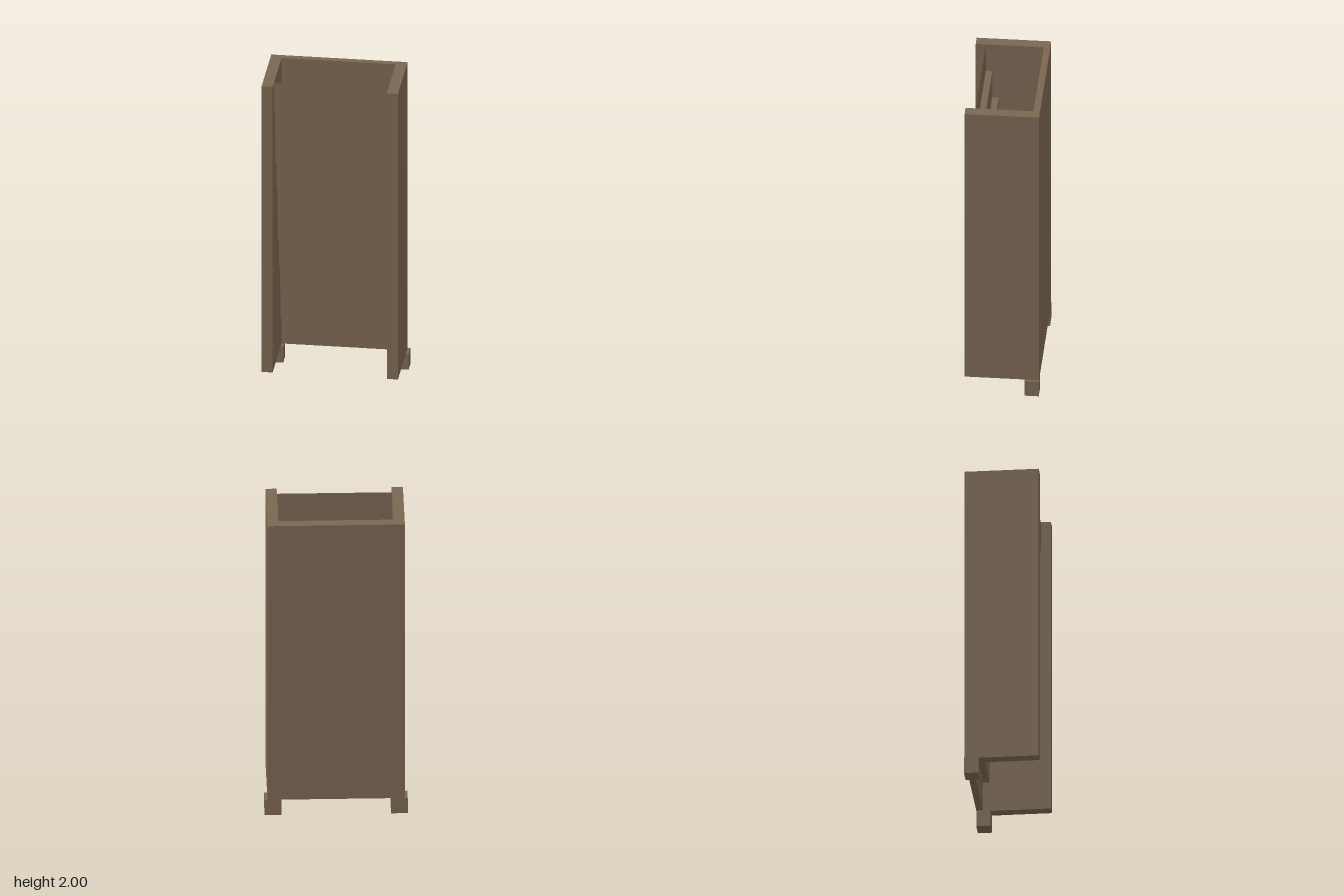
import * as THREE from 'three';

export function createModel() {
  const group = new THREE.Group();
  const wood = new THREE.MeshStandardMaterial({ color: 0x7a6652, flatShading: true });
  const sheet = wood.clone();
  sheet.side = THREE.DoubleSide;

  const bottom = 0.105, top = 2, back = -0.226, front = 0.222;
  const outer = 0.412, inner = 0.345, wall = -0.187;

  // U-shaped casing: back wall and two sides, drawn in plan and raised
  const plan = new THREE.Shape([
    [-outer, -back], [-outer, -front], [-inner, -front], [-inner, -wall],
    [inner, -wall], [inner, -front], [outer, -front], [outer, -back],
  ].map(([x, y]) => new THREE.Vector2(x, y)));
  const casingGeo = new THREE.ExtrudeGeometry(plan, { depth: top - bottom, bevelEnabled: false });
  casingGeo.rotateX(-Math.PI / 2).translate(0, bottom, 0);
  const casing = new THREE.Mesh(casingGeo, wood);
  casing.name = 'casing';
  group.add(casing);

  // Thin stepped front, leaning forward towards the open top
  const steps = new THREE.Group();
  steps.name = 'steppedFront';
  const count = 9, rise = (top - bottom) / 10, run = (0.161 - wall) / count;
  for (let i = 0; i < count; i++) {
    const y = bottom + rise * (i + 1), z = wall + run * (i + 1);
    const riser = new THREE.Mesh(new THREE.PlaneGeometry(inner * 2, rise), sheet);
    riser.name = 'riser';
    riser.position.set(0, y + rise / 2, z);
    const ledge = new THREE.Mesh(new THREE.PlaneGeometry(inner * 2, run), sheet);
    ledge.name = 'ledge';
    ledge.rotation.x = -Math.PI / 2;
    ledge.position.set(0, y, z - run / 2);
    steps.add(riser, ledge);
  }
  group.add(steps);

  // Two block feet under the rear corners
  for (const side of [-1, 1]) {
    const foot = new THREE.Mesh(new THREE.BoxGeometry(0.1, bottom, 0.086), wood);
    foot.name = side > 0 ? 'leftFoot' : 'rightFoot';
    foot.position.set(side * 0.379, bottom / 2, back + 0.043);
    group.add(foot);
  }
  return group;
}
